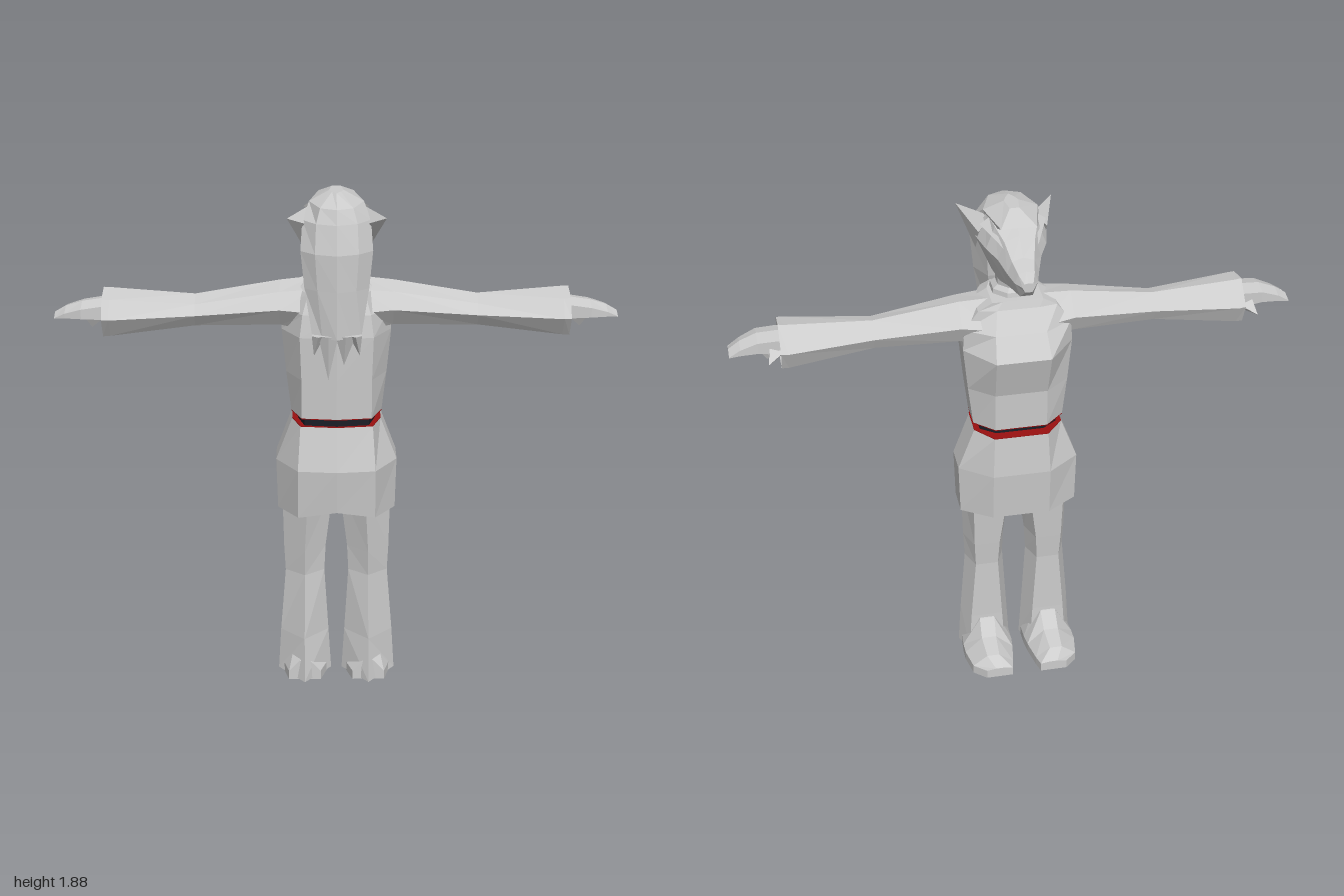
import * as THREE from 'three';

const grey = new THREE.MeshStandardMaterial({ color: 0xcccccc, side: THREE.DoubleSide });
grey.name = 'pale grey';
const dark = new THREE.MeshStandardMaterial({ color: 0x1b1d26 });
dark.name = 'dark belt';
const red = new THREE.MeshStandardMaterial({ color: 0x9a1010, side: THREE.DoubleSide });
red.name = 'red trim';

// Faceted skin over a row of equal-sized rings, turned outward by its signed volume
function loft(name, rings, mat = grey, capA = true, capB = true) {
  const tris = [], n = rings[0].length;
  const cap = (r, flip) => {
    const c = [0, 1, 2].map(k => r.reduce((s, p) => s + p[k], 0) / n);
    r.forEach((p, i) => {
      const q = r[(i + 1) % n];
      tris.push(flip ? [c, q, p] : [c, p, q]);
    });
  };
  for (let j = 0; j < rings.length - 1; j++) {
    for (let i = 0; i < n; i++) {
      const k = (i + 1) % n;
      const [a, b, c, d] = [rings[j][i], rings[j][k], rings[j + 1][k], rings[j + 1][i]];
      tris.push([a, b, c], [a, c, d]);
    }
  }
  if (capA) cap(rings[0], true);
  if (capB) cap(rings[rings.length - 1], false);
  const o = rings[0][0];
  const vec = p => new THREE.Vector3(p[0] - o[0], p[1] - o[1], p[2] - o[2]);
  let volume = 0;
  for (const [a, b, c] of tris) volume += vec(a).dot(vec(b).cross(vec(c)));
  if (volume < 0) tris.forEach(t => t.reverse());
  const g = new THREE.BufferGeometry();
  g.setAttribute('position', new THREE.Float32BufferAttribute(tris.flat(2), 3));
  g.computeVertexNormals();
  const m = new THREE.Mesh(g, mat);
  m.name = name;
  return m;
}

// Pointed piece from a base ring to a tip
const spike = (name, base, tip) => loft(name, [base, base.map(() => tip)], grey, true, false);

// Horizontal eight-sided body ring: half width, flat width, back z, front z
const bodyRing = (y, hw, fw, zb, zf, dy = 0) => [
  [0, y + dy, zb], [fw, y, zb - 0.015], [hw, y, 0.05], [hw, y, -0.06],
  [fw * 0.75, y, zf], [-fw * 0.75, y, zf], [-hw, y, -0.06], [-hw, y, 0.05], [-fw, y, zb - 0.015],
];

function createLeg(s) {
  const leg = new THREE.Group();
  // trouser leg with a ridge down the back
  const ring = (y, xi, xo, zb, zf) => [
    [s * xo, y, 0.02], [s * (xi + xo) / 2, y, zb], [s * xi, y, 0.02],
    [s * (xi + 0.03), y, zf], [s * (xo - 0.03), y, zf],
  ];
  leg.add(loft('trouserLeg', [
    ring(0.005, 0.02, 0.22, 0.145, -0.06), ring(0.17, 0.03, 0.21, 0.11, -0.055),
    ring(0.42, 0.045, 0.19, 0.075, -0.055), ring(0.52, 0.04, 0.195, 0.085, -0.065),
    ring(0.76, 0.01, 0.2, 0.105, -0.085),
  ]));
  // shoe
  const shoe = (z, xi, xo, y0, y1) => [
    [s * xi, y0, z], [s * xo, y0, z], [s * xo, y0 + 0.035, z],
    [s * (xo * 0.65 + xi * 0.35), y1, z], [s * (xo * 0.35 + xi * 0.65), y1, z], [s * xi, y0 + 0.035, z],
  ];
  leg.add(loft('shoe', [
    shoe(0.11, 0.06, 0.18, 0, 0.08), shoe(0, 0.025, 0.21, 0, 0.17), shoe(-0.06, 0.025, 0.215, 0.003, 0.155),
    shoe(-0.11, 0.03, 0.215, 0.005, 0.1), shoe(-0.2, 0.045, 0.2, 0.01, 0.085), shoe(-0.245, 0.055, 0.155, 0.015, 0.055),
  ]));
  return leg;
}

function createArm(s) {
  const arm = new THREE.Group();
  // sleeve, open at the cuff
  const ring = (x, y0, y1, zf, zb) => {
    const m = (y0 + y1) / 2, w = zb - zf;
    return [
      [s * x, m, zf], [s * x, y1, zf + w * 0.35], [s * x, y1 - 0.02, zf + w * 0.78],
      [s * x, m - 0.005, zb], [s * x, y0, zb - w * 0.22], [s * x, y0 + 0.005, zf + w * 0.15],
    ];
  };
  arm.add(loft('sleeve', [
    ring(0.08, 1.38, 1.555, -0.1, 0.14), ring(0.2, 1.405, 1.545, -0.075, 0.125),
    ring(0.5, 1.4, 1.498, -0.045, 0.105), ring(0.8, 1.368, 1.52, -0.075, 0.137),
    ring(0.825, 1.366, 1.522, -0.07, 0.135),
  ], grey, true, false));
  // hand tapering to the fingertips
  const palm = (x, y0, y1, zf, zb) => [
    [s * x, y0, zf], [s * x, y1 - 0.01, zf], [s * x, y1, (zf + zb) / 2], [s * x, y1 - 0.015, zb], [s * x, y0, zb],
  ];
  arm.add(loft('hand', [
    palm(0.7, 1.42, 1.47, -0.02, 0.07), palm(0.83, 1.425, 1.488, -0.035, 0.085),
    palm(0.9, 1.43, 1.48, -0.025, 0.092), palm(0.96, 1.428, 1.46, -0.025, 0.075), palm(1, 1.424, 1.436, -0.025, 0.06),
  ]));
  arm.add(spike('thumb', [[s * 0.8, 1.44, -0.03], [s * 0.86, 1.45, -0.03], [s * 0.86, 1.43, 0.01], [s * 0.8, 1.41, 0.01]],
    [s * 0.87, 1.41, -0.075]));
  arm.add(spike('bentFinger', [[s * 0.81, 1.435, 0], [s * 0.9, 1.435, 0], [s * 0.9, 1.435, 0.05], [s * 0.81, 1.435, 0.05]],
    [s * 0.87, 1.378, 0.02]));
  return arm;
}

function createHead() {
  const head = new THREE.Group();
  // skull and long snout, sections running front to back
  const face = (z, hw, y0, y1) => {
    const m = y0 * 0.45 + y1 * 0.55;
    return [[0, y1, z], [hw * 0.7, y1 - (y1 - y0) * 0.1, z], [hw, m, z], [hw * 0.55, y0, z],
      [-hw * 0.55, y0, z], [-hw, m, z], [-hw * 0.7, y1 - (y1 - y0) * 0.1, z]];
  };
  head.add(loft('faceAndSnout', [
    face(0.16, 0.1, 1.64, 1.84), face(0.06, 0.125, 1.625, 1.87), face(-0.03, 0.105, 1.628, 1.86),
    face(-0.09, 0.075, 1.64, 1.825), face(-0.15, 0.055, 1.65, 1.775), face(-0.205, 0.04, 1.66, 1.752), face(-0.245, 0.022, 1.695, 1.73),
  ]));
  // hair falling down the back
  const lock = (y, hw, zf, zb) => {
    const m = zf * 0.45 + zb * 0.55;
    return [[0, y, zb], [hw * 0.6, y, zb - 0.025], [hw, y, m], [hw * 0.65, y, zf],
      [-hw * 0.65, y, zf], [-hw, y, m], [-hw * 0.6, y, zb - 0.025]];
  };
  head.add(loft('longHair', [
    lock(1.885, 0.025, 0, 0.11), lock(1.85, 0.095, -0.08, 0.205), lock(1.8, 0.118, 0.04, 0.225),
    lock(1.7, 0.125, 0.09, 0.25), lock(1.57, 0.112, 0.11, 0.25), lock(1.4, 0.085, 0.165, 0.25),
  ]));
  for (const [x, w, tx, ty] of [[-0.03, 0.035, -0.03, 1.24], [0.03, 0.035, 0.025, 1.295], [-0.065, 0.022, -0.08, 1.33], [0.065, 0.022, 0.08, 1.33]]) {
    head.add(spike('hairTip', [[x - w, 1.41, 0.17], [x + w, 1.41, 0.17], [x + w, 1.41, 0.23], [x, 1.41, 0.247], [x - w, 1.41, 0.23]],
      [tx, ty, 0.205]));
  }
  for (const s of [1, -1]) {
    // ears swept backward, and brows
    head.add(spike(s > 0 ? 'leftEar' : 'rightEar',
      [[s * 0.07, 1.84, 0.04], [s * 0.12, 1.79, 0.03], [s * 0.12, 1.7, 0.09], [s * 0.09, 1.78, 0.14]],
      [s * 0.17, 1.82, 0.2]));
    head.add(spike(s > 0 ? 'leftBrow' : 'rightBrow',
      [[s * 0.08, 1.845, 0.03], [s * 0.115, 1.82, 0.03], [s * 0.08, 1.8, 0.01]], [s * 0.06, 1.795, -0.11]));
  }
  return head;
}

export function createModel() {
  const model = new THREE.Group();
  model.name = 'longHairedFigure';

  for (const s of [1, -1]) {
    const side = s > 0 ? 'left' : 'right';
    const leg = createLeg(s), arm = createArm(s);
    leg.name = side + 'Leg';
    arm.name = side + 'Arm';
    model.add(leg, arm);
  }

  // tunic skirt, open below
  const waist = bodyRing(1.04, 0.16, 0.13, 0.155, -0.135);
  model.add(loft('skirt', [
    bodyRing(0.69, 0.215, 0.14, 0.17, -0.13, 0.025), bodyRing(0.88, 0.22, 0.14, 0.19, -0.145), waist,
  ], grey, false, false));

  // belt between two red edges
  const belt = [1.035, 1.08].map(y => bodyRing(y, 0.14, 0.115, 0.15, -0.1));
  model.add(loft('belt', belt, dark));
  const hem = bodyRing(1.073, 0.163, 0.125, 0.16, -0.125);
  const lift = (r, d) => r.map(([x, y, z]) => [x, y + d, z]);
  model.add(loft('lowerTrim', [waist, lift(waist, 0.003)], red));
  model.add(loft('upperTrim', [lift(hem, -0.003), hem], red));

  // torso
  model.add(loft('torso', [
    hem, bodyRing(1.22, 0.18, 0.125, 0.168, -0.13), bodyRing(1.38, 0.195, 0.13, 0.175, -0.18),
    bodyRing(1.46, 0.19, 0.12, 0.165, -0.125), bodyRing(1.53, 0.14, 0.1, 0.14, -0.07), bodyRing(1.558, 0.09, 0.07, 0.12, -0.06),
  ]));

  // collar and neck
  const neck = (y, r, z) => [...Array(8).keys()].map(i => {
    const a = (i + 0.5) * Math.PI / 4;
    return [r * Math.cos(a), y, z + r * Math.sin(a)];
  });
  model.add(loft('neck', [neck(1.54, 0.085, 0.04), neck(1.575, 0.08, 0.04), neck(1.59, 0.062, 0.035), neck(1.66, 0.065, 0.03)]));

  const head = createHead();
  head.name = 'head';
  model.add(head);
  return model;
}
